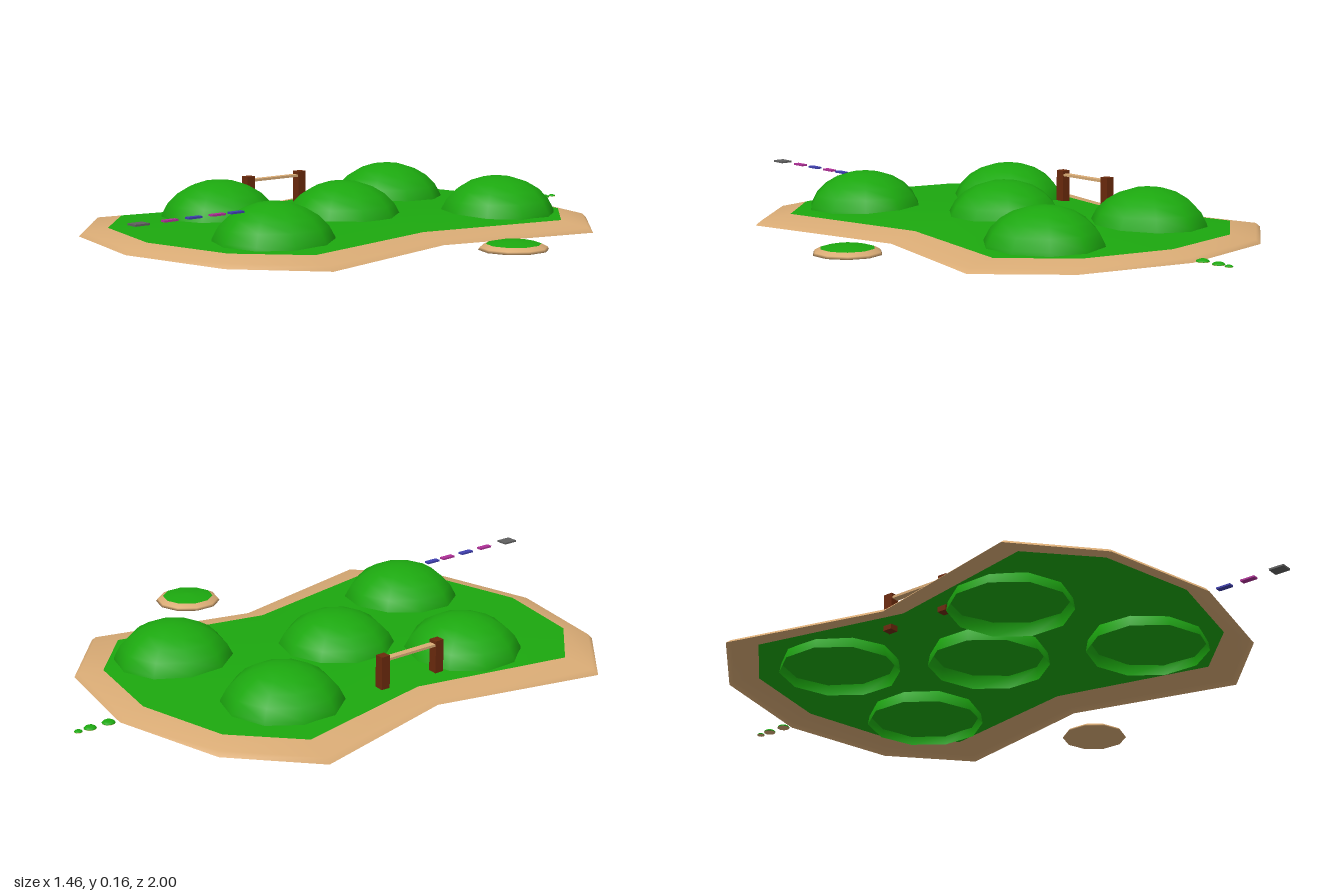
import * as THREE from 'three';

const mat = (color) => new THREE.MeshStandardMaterial({ color, side: THREE.DoubleSide });
const grass = mat(0x1ca80f), sand = mat(0xd9ab75), wood = mat(0x6b2a0c);
const blue = mat(0x4040b0), magenta = mat(0xb03098), stone = mat(0x606060);

const CX = -0.1; // mirror line of the main island

function add(parent, name, geometry, material, x = 0, y = 0, z = 0) {
  const mesh = new THREE.Mesh(geometry, material);
  mesh.name = name;
  mesh.position.set(x, y, z);
  parent.add(mesh);
  return mesh;
}

// Closed outline from [halfWidth, z] points running back to front
function outline(half) {
  const right = half.map(([w, z]) => [CX + w, z]);
  const left = half.slice(1, -1).reverse().map(([w, z]) => [CX - w, z]);
  return [...right, ...left];
}

// Skin between successive rings, each { points, y }, outermost first
function loft(rings) {
  const n = rings[0].points.length, position = [], index = [];
  for (const { points, y } of rings) for (const [x, z] of points) position.push(x, y, z);
  for (let r = 0; r < rings.length - 1; r++) {
    for (let i = 0; i < n; i++) {
      const j = (i + 1) % n, a = r * n, b = a + n;
      index.push(a + i, b + i, a + j, a + j, b + i, b + j);
    }
  }
  const g = new THREE.BufferGeometry();
  g.setAttribute('position', new THREE.Float32BufferAttribute(position, 3));
  g.setIndex(index);
  g.computeVertexNormals();
  return g;
}

const mix = (p, q, t) => p.map(([x, z], i) => [x + (q[i][0] - x) * t, z + (q[i][1] - z) * t]);

// Low ten-sided dome, open below
function dome(parent, name, material, x, y, z, r, h) {
  const g = new THREE.SphereGeometry(1, 10, 6, 0, Math.PI * 2, 0, Math.PI / 2);
  g.rotateY(Math.PI / 10).scale(r, h, r);
  return add(parent, name, g, material, x, y, z);
}

export function createModel() {
  const model = new THREE.Group();
  model.name = 'islandCourse';

  // Main island: sandy shore ring around a gently raised lawn
  const shore = outline([[0, -0.84], [0.39, -0.755], [0.63, -0.535], [0.495, 0], [0.63, 0.56], [0.39, 0.775], [0, 0.86]]);
  const edge = outline([[0, -0.755], [0.32, -0.69], [0.51, -0.51], [0.4, 0], [0.51, 0.53], [0.32, 0.71], [0, 0.78]]);
  const centre = edge.map(() => [CX, 0.01]);
  add(model, 'shore', loft([
    { points: shore, y: 0 },
    { points: mix(shore, edge, 0.15), y: 0.014 },
    { points: edge, y: 0.03 },
  ]), sand);
  add(model, 'lawn', loft([
    { points: edge, y: 0.03 },
    { points: mix(edge, centre, 0.25), y: 0.038 },
    { points: mix(edge, centre, 0.6), y: 0.046 },
    { points: centre, y: 0.05 },
  ]), grass);

  // Hills, whose bases reach below the lawn
  const hills = [[-0.34, -0.405], [0.16, -0.46], [-0.085, 0.01], [-0.36, 0.31], [0.14, 0.475]];
  for (const [x, z] of hills) dome(model, 'hill', grass, x, 0.003, z, 0.197, 0.153);

  // Small side island
  const islet = new THREE.Group();
  islet.name = 'sideIsland';
  islet.position.set(0.625, 0, -0.08);
  const lathe = (pts) => new THREE.LatheGeometry(pts.map(([r, y]) => new THREE.Vector2(r, y)), 10).rotateY(Math.PI / 5);
  add(islet, 'sideShore', lathe([[0, 0.008], [0.11, 0.008], [0.105, 0.016], [0.086, 0.026]]), sand);
  add(islet, 'sideLawn', lathe([[0.086, 0.026], [0.05, 0.034], [0, 0.037]]), grass);
  model.add(islet);

  // Stepping islets behind the main island
  for (const [z, r] of [[-0.88, 0.021], [-0.945, 0.02], [-0.987, 0.013]]) {
    dome(model, 'steppingIslet', grass, CX, 0.01, z, r, r * 0.45);
    add(model, 'steppingIsletBase', new THREE.CircleGeometry(r, 10).rotateX(Math.PI / 2), sand, CX, 0.009, z);
  }

  // Wooden gate: two posts and a pale crossbar
  const gate = new THREE.Group();
  gate.name = 'gate';
  gate.position.set(-0.447, 0, 0.012);
  for (const s of [-1, 1]) add(gate, 'gatePost', new THREE.BoxGeometry(0.03, 0.125, 0.032), wood, 0, 0.08, s * 0.11);
  add(gate, 'crossbar', new THREE.BoxGeometry(0.024, 0.008, 0.2), sand, 0, 0.128, 0);
  model.add(gate);

  // Floating planks leading to a platform
  [0.615, 0.685, 0.772, 0.86].forEach((z, i) => {
    add(model, 'floatingPlank', new THREE.BoxGeometry(0.02, 0.006, 0.05), i % 2 ? magenta : blue, 0.135, 0.135, z);
  });
  add(model, 'floatingPlatform', new THREE.BoxGeometry(0.04, 0.006, 0.052), stone, 0.135, 0.135, 0.97);

  return model;
}
